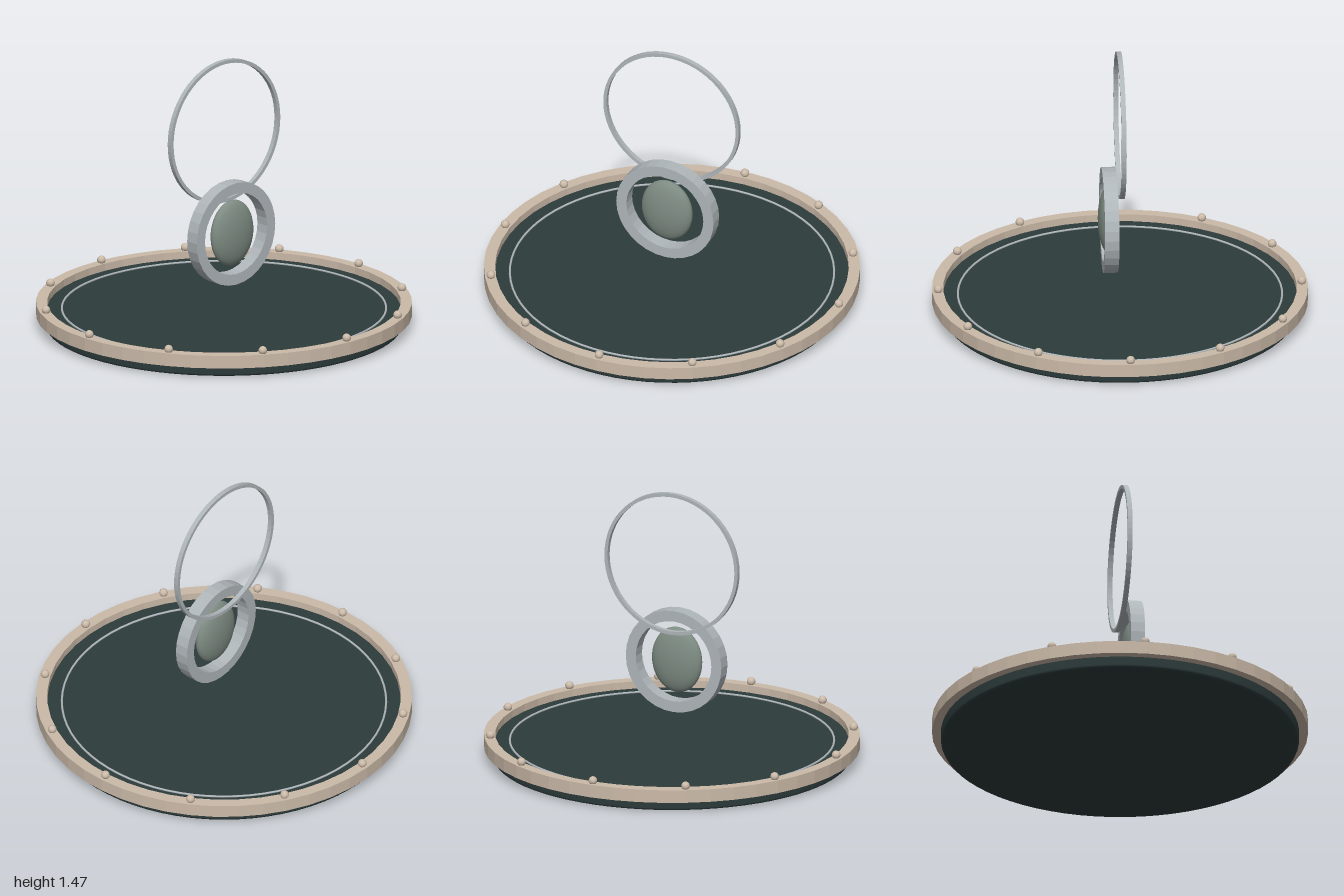
import * as THREE from 'three';

const material = (name, color) => {
  const m = new THREE.MeshStandardMaterial({ color });
  m.name = name;
  return m;
};

// Flat band with a square section, lying in the xy plane from z = 0 to z = depth
function band(outer, inner, depth, sides) {
  const shape = new THREE.Shape().absarc(0, 0, outer, 0, Math.PI * 2, false);
  shape.holes.push(new THREE.Path().absarc(0, 0, inner, 0, Math.PI * 2, true));
  return new THREE.ExtrudeGeometry(shape, { depth, bevelEnabled: false, curveSegments: sides / 2 });
}

export function createModel() {
  const group = new THREE.Group();
  const dark = material('dark slate', 0x2d3b3b);
  const tan = material('warm beige', 0xcbbaa8);
  const silver = material('silver', 0xafb6ba);
  const stone = material('grey green stone', 0x7e8c83);

  const add = (name, geometry, mat, x = 0, y = 0, z = 0) => {
    const mesh = new THREE.Mesh(geometry, mat);
    mesh.name = name;
    mesh.position.set(x, y, z);
    group.add(mesh);
    return mesh;
  };

  // Round base with a softly rounded lower edge
  const profile = [[0, 0], [0.935, 0], [0.947, 0.004], [0.952, 0.015], [0.952, 0.09], [0, 0.09]];
  const points = profile.map(([r, y]) => new THREE.Vector2(r, y));
  // Repeated corner points keep the flat faces crisp
  points.splice(1, 0, new THREE.Vector2(0.93, 0));
  points.splice(6, 0, new THREE.Vector2(0.9519, 0.09));
  add('base', new THREE.LatheGeometry(points, 72), dark);

  // Raised rim, inlaid ring and rim beads
  add('rim', band(1, 0.94, 0.07, 48).rotateX(-Math.PI / 2), tan, 0, 0.06);
  add('inlayRing', new THREE.TorusGeometry(0.862, 0.006, 8, 72).rotateX(Math.PI / 2), silver, 0, 0.094);
  const bead = new THREE.SphereGeometry(0.023, 16, 12);
  for (let i = 0; i < 12; i++) {
    const a = (i / 12) * Math.PI * 2;
    add('bead', bead, tan, Math.cos(a) * 0.968, 0.145, Math.sin(a) * 0.968);
  }

  // Hanging hoop, pendant frame and oval stone
  add('hoop', band(0.393, 0.374, 0.026, 64), silver, 0, 1.077, -0.013);
  add('pendantFrame', band(0.282, 0.223, 0.076, 32), silver, 0, 0.526, 0.019);
  add('stone', new THREE.SphereGeometry(1, 32, 24).scale(0.146, 0.181, 0.055), stone, 0, 0.526, 0.063);

  return group;
}
